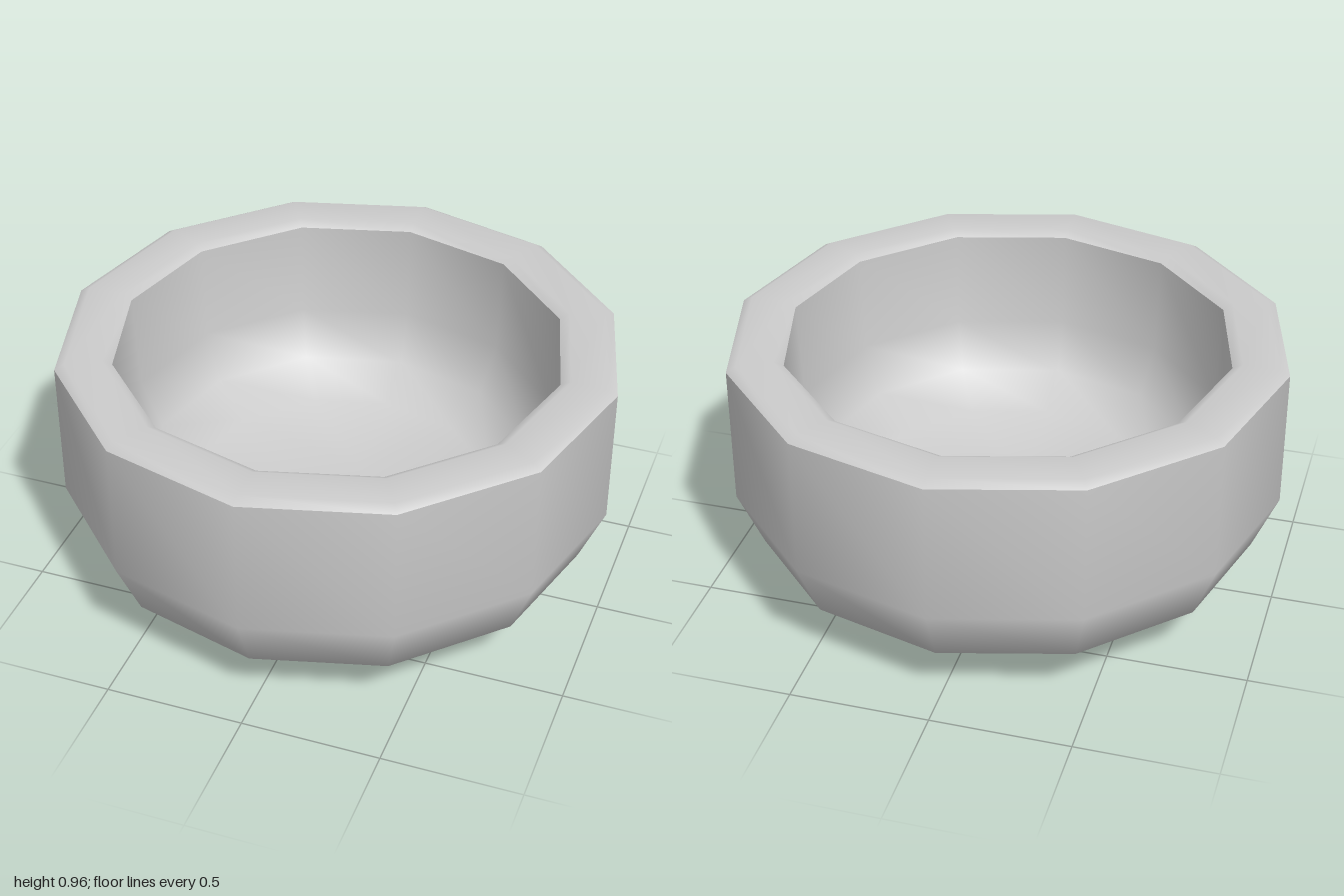
import * as THREE from 'three';
import { mergeVertices } from 'three/addons/utils/BufferGeometryUtils.js';

const SIDES = 12;
const FLOOR_R = 0.21;

// Smooth-shaded 12-sided shell; the small floor ring is gathered into a four-cornered patch.
function shell(name, profile, material) {
  const geo = new THREE.LatheGeometry(profile.map(([r, y]) => new THREE.Vector2(r, y)), SIDES);
  geo.deleteAttribute('normal');
  geo.deleteAttribute('uv');
  const pos = geo.attributes.position;
  for (let i = 0; i < pos.count; i++) {
    const x = pos.getX(i), z = pos.getZ(i), r = Math.hypot(x, z);
    if (r > 0.01 && r < FLOOR_R + 0.01) {
      const a = Math.round(Math.atan2(x, z) / (Math.PI / 2)) * Math.PI / 2;
      pos.setXYZ(i, r * Math.sin(a), pos.getY(i), r * Math.cos(a));
    }
  }
  const merged = mergeVertices(geo, 1e-4);
  merged.computeVertexNormals();
  const mesh = new THREE.Mesh(merged, material);
  mesh.name = name;
  return mesh;
}

export function createModel() {
  const bowl = new THREE.Group();
  bowl.name = 'bowl';
  const material = new THREE.MeshStandardMaterial({ color: 0xcccccc });

  // Outside, from the middle of the base up to the rim
  bowl.add(shell('outerWall', [
    [0, 0], [FLOOR_R, 0], [0.7, 0.06], [0.91, 0.22], [1, 0.43], [1, 0.94],
  ], material));

  // Rim with a small bevel on both edges
  bowl.add(shell('rim', [[1, 0.94], [0.965, 0.96], [0.835, 0.96], [0.8, 0.94]], material));

  // Inside, from the rim down to the middle of the floor
  bowl.add(shell('innerWall', [
    [0.8, 0.94], [0.785, 0.58], [0.71, 0.4], [0.57, 0.29], [FLOOR_R, 0.24], [0, 0.24],
  ], material));

  return bowl;
}
